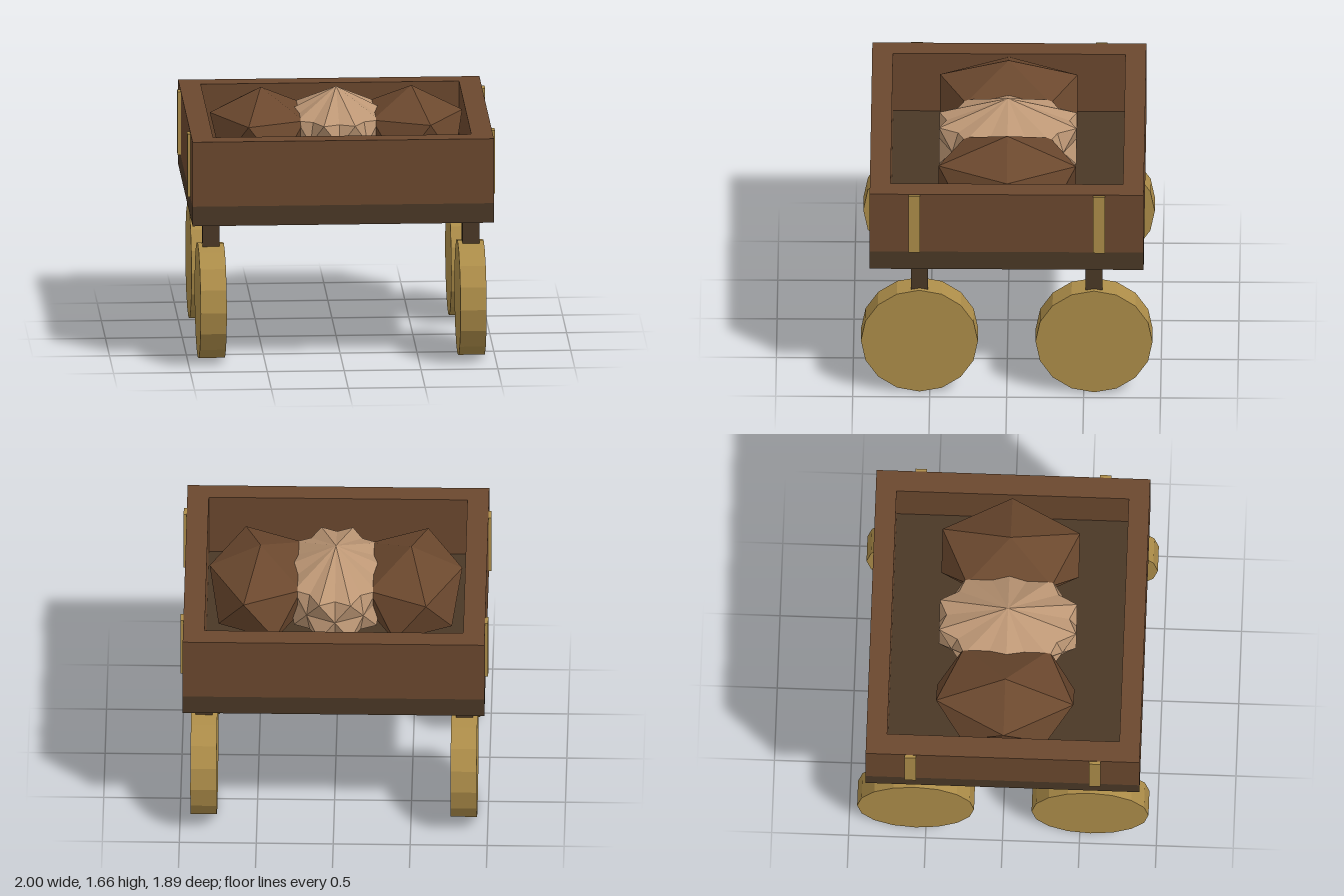
import * as THREE from 'three';

const mat = (name, color) => {
  const m = new THREE.MeshStandardMaterial({ color, flatShading: true });
  m.name = name;
  return m;
};

export function createModel() {
  const model = new THREE.Group();
  model.name = 'cart';
  const wood = mat('brown wood', 0x6b482e);
  const darkWood = mat('dark wood', 0x4a3826);
  const brass = mat('brass', 0xad8d49);
  const paleStone = mat('pale stone', 0xbd9775);

  const add = (name, geometry, material, x, y, z) => {
    const mesh = new THREE.Mesh(geometry, material);
    mesh.name = name;
    mesh.position.set(x, y, z);
    model.add(mesh);
    return mesh;
  };
  const rect = (target, w, d) => target
    .moveTo(-w, -d).lineTo(w, -d).lineTo(w, d).lineTo(-w, d).closePath();

  // Floor slab and open frame of side walls
  add('floor', new THREE.BoxGeometry(1.96, 0.13, 1.78), darkWood, 0, 1.015, 0);
  const outline = rect(new THREE.Shape(), 0.98, 0.89);
  outline.holes.push(rect(new THREE.Path(), 0.84, 0.755));
  const walls = new THREE.ExtrudeGeometry(outline, { depth: 0.43, bevelEnabled: false });
  walls.rotateX(-Math.PI / 2);
  add('sideWalls', walls, wood, 0, 1.08, 0);

  // Wheels, posts and wall straps at the four corners
  const wheel = new THREE.CylinderGeometry(0.38, 0.38, 0.17, 16).rotateZ(Math.PI / 2);
  const post = new THREE.BoxGeometry(0.11, 0.21, 0.11);
  const strap = new THREE.BoxGeometry(0.04, 0.42, 0.075);
  for (const sx of [-1, 1]) {
    for (const sz of [-1, 1]) {
      add('wheel', wheel, brass, sx * 0.845, 0.38, sz * 0.567);
      add('post', post, darkWood, sx * 0.845, 0.845, sz * 0.567);
      add('strap', strap, brass, sx * 0.98, 1.295, sz * 0.6);
    }
  }

  // Rocks: stretched icosahedra standing on a corner, a ridge pointing to side s
  const rock = (name, material, x, s) => {
    const g = new THREE.IcosahedronGeometry(1, 0);
    g.rotateX(-Math.atan((1 + Math.sqrt(5)) / 2));
    g.rotateY(s * Math.PI / 2);
    g.scale(0.37, 0.3, 0.525);
    add(name, g, material, x, 1.365, 0);
  };
  for (const s of [-1, 1]) {
    rock('sideRock', wood, s * 0.49, s);
    rock('middleRock', paleStone, 0, s); // two crossed halves share the centre
  }
  return model;
}
